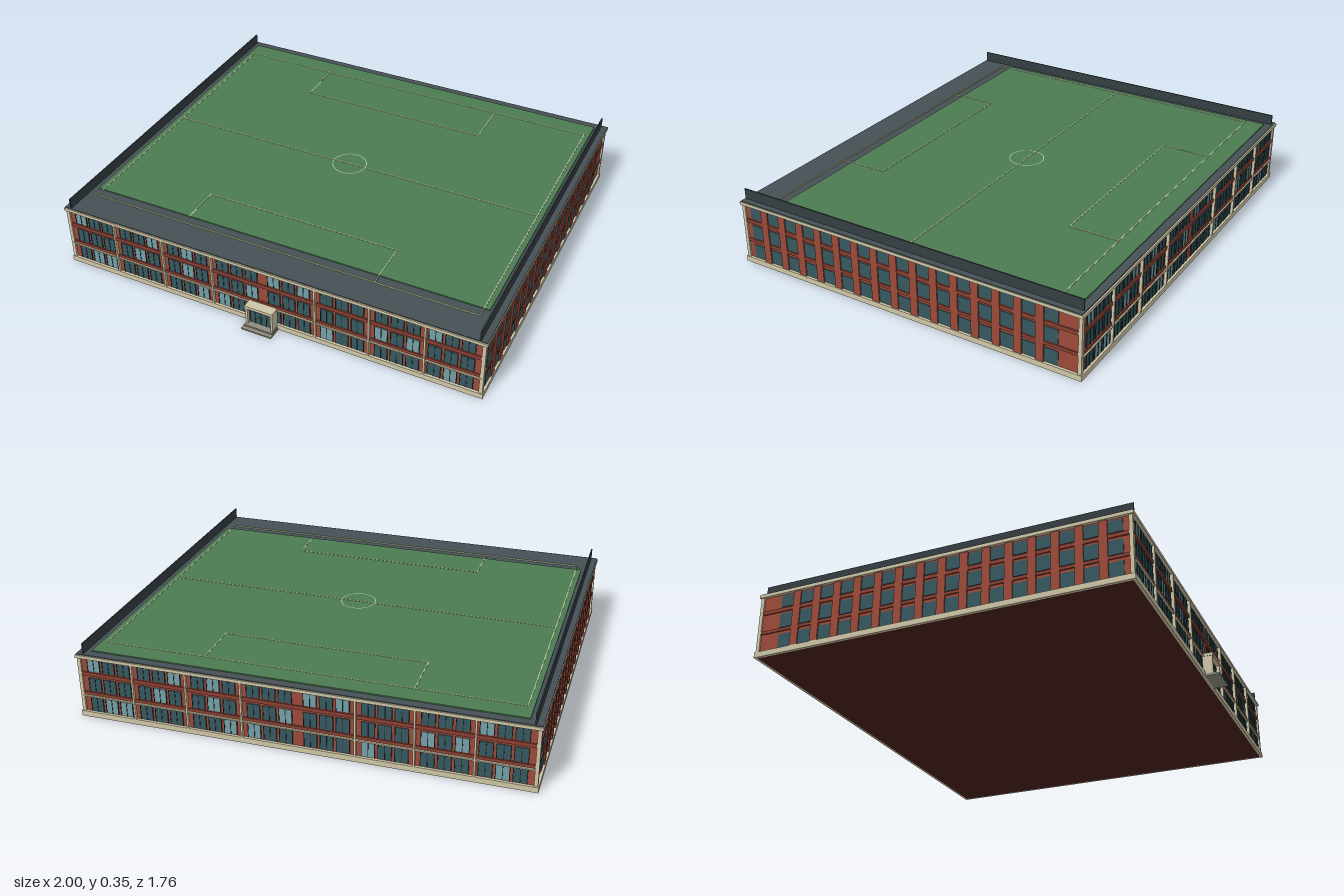
import * as THREE from 'three';
import { mergeGeometries } from 'three/addons/utils/BufferGeometryUtils.js';

const mat = (color) => new THREE.MeshStandardMaterial({ color });
const BRICK = mat(0x9c4a3a), DARK_BRICK = mat(0x8a4033), STONE = mat(0xcfc6a6), GLASS = mat(0x35585f),
  PALE_GLASS = mat(0x74a0a6), FRAME = mat(0x24383c), SLATE = mat(0x465155), FENCE = mat(0x343e41),
  GRASS = mat(0x4d7b52), LINE = mat(0xb4bf9c), STEP = mat(0x8f8d80), UNDER = mat(0x4a211d);

// Box given by its extents
function box(x0, x1, y0, y1, z0, z1) {
  return new THREE.BoxGeometry(x1 - x0, y1 - y0, z1 - z0)
    .translate((x0 + x1) / 2, (y0 + y1) / 2, (z0 + z1) / 2);
}

function add(parent, name, material, ...geometries) {
  const mesh = new THREE.Mesh(mergeGeometries(geometries.map((g) => g.toNonIndexed())), material);
  mesh.name = name;
  parent.add(mesh);
  return mesh;
}

const BACK = -0.87, FRONT = 0.8, SIDE = 0.985;
const FLOORS = [[0.028, 0.093], [0.125, 0.19], [0.222, 0.277]];

// Horizontal ring around the walls, projecting by d
function ring(y0, y1, d) {
  const x = SIDE + d, z0 = BACK - d, z1 = FRONT + d;
  return [
    box(-x, x, y0, y1, FRONT, z1), box(-x, x, y0, y1, z0, BACK),
    box(-x, -SIDE, y0, y1, BACK, FRONT), box(SIDE, x, y0, y1, BACK, FRONT),
  ];
}

// Long facade, facing +z with its wall plane at z = 0
function longFacade(name) {
  const g = new THREE.Group();
  g.name = name;
  const dark = [], pale = [], mullions = [], piers = [];
  const bay = 0.2465;
  for (let b = 0; b < 8; b++) {
    const left = -4 * bay + b * bay;
    for (let w = 0; w < 3; w++) {
      const x = left + bay / 2 + (w - 1) * 0.07 + (b === 0 ? 0.012 : b === 7 ? -0.012 : 0);
      FLOORS.forEach(([y0, y1], f) => {
        const isPale = (b * 3 + w + f * 4) % 7 === 1 || (b * 5 + w * 2 + f * 3) % 11 === 4;
        (isPale ? pale : dark).push(box(x - 0.028, x + 0.028, y0, y1, 0, 0.003));
        for (const dx of [-0.028, 0, 0.028])
          mullions.push(box(x + dx - 0.0015, x + dx + 0.0015, y0, y1, 0, 0.005));
      });
    }
    if (b > 0 && b !== 4) piers.push(box(left - 0.004, left + 0.004, 0.025, 0.285, 0, 0.013));
  }
  add(g, 'darkWindows', GLASS, ...dark);
  add(g, 'paleWindows', PALE_GLASS, ...pale);
  add(g, 'windowMullions', FRAME, ...mullions);
  add(g, 'stonePiers', STONE, ...piers);
  add(g, 'stoneCourse', STONE, box(-SIDE, SIDE, 0.098, 0.104, 0, 0.01));
  return g;
}

// Short side facade, facing +x with its wall plane at x = 0
function sideFacade(name) {
  const g = new THREE.Group();
  g.name = name;
  const panes = [], piers = [];
  for (let i = 0; i < 16; i++) {
    const z = 0.735 - i * 0.0985;
    for (const [y0, y1] of FLOORS) panes.push(box(0, 0.003, y0, y1, z - 0.031, z + 0.031));
    if (i < 15) piers.push(box(0, 0.008, 0.025, 0.283, z - 0.0675, z - 0.031));
  }
  add(g, 'sideWindows', GLASS, ...panes);
  add(g, 'brickPiers', BRICK, ...piers);
  return g;
}

// Flat line marking on the pitch
const stripe = (x0, x1, z0, z1) => {
  const h = 0.0022;
  return box(x0 - h, x1 + h, 0.301, 0.3085, z0 - h, z1 + h);
};

export function createModel() {
  const model = new THREE.Group();
  model.name = 'schoolWithRoofPitch';

  // Main block with plinth, floor bands and cornice
  add(model, 'brickWalls', BRICK, box(-SIDE, SIDE, 0.001, 0.29, BACK, FRONT));
  add(model, 'underside', UNDER, box(-SIDE, SIDE, 0, 0.001, BACK, FRONT));
  add(model, 'stonePlinth', STONE, ...ring(0, 0.025, 0.012));
  add(model, 'floorBands', DARK_BRICK, ...ring(0.107, 0.121, 0.006), ...ring(0.2, 0.217, 0.006));
  add(model, 'cornice', STONE, ...ring(0.284, 0.298, 0.014));
  const corners = [];
  for (const x of [-SIDE, SIDE]) for (const z of [BACK, FRONT])
    corners.push(box(x - 0.008, x + 0.008, 0.025, 0.284, z - 0.008, z + 0.008));
  add(model, 'cornerTrim', STONE, ...corners);

  // Facades
  const front = longFacade('frontFacade');
  front.position.z = FRONT;
  const back = longFacade('backFacade');
  back.rotation.y = Math.PI;
  back.position.z = BACK;
  const left = sideFacade('leftFacade');
  left.position.x = SIDE;
  const right = sideFacade('rightFacade');
  right.scale.x = -1;
  right.position.x = -SIDE;
  model.add(front, back, left, right);

  // Roof deck and tall side fences
  add(model, 'roofDeck', SLATE, box(-0.996, 0.996, 0.29, 0.302, BACK - 0.008, FRONT + 0.008));
  for (const s of [-1, 1])
    add(model, s > 0 ? 'leftFence' : 'rightFence', FENCE,
      box(s * 0.966 - 0.003, s * 0.966 + 0.003, 0.3, 0.35, BACK, FRONT + 0.006));

  // Sports pitch with markings
  add(model, 'pitch', GRASS, box(-0.94, 0.94, 0.3, 0.307, -0.84, 0.63));
  const X = 0.915, Z0 = -0.75, Z1 = 0.675, P = 0.457;
  add(model, 'pitchLines', LINE,
    stripe(-X, X, Z0, Z0), stripe(-X, X, Z1, Z1), stripe(-X, -X, Z0, Z1), stripe(X, X, Z0, Z1),
    stripe(-X, X, -0.037, -0.037),
    stripe(-P, P, 0.45, 0.45), stripe(-P, -P, 0.45, Z1), stripe(P, P, 0.45, Z1),
    stripe(-P, P, -0.522, -0.522), stripe(-P, -P, Z0, -0.522), stripe(P, P, Z0, -0.522));
  const circle = add(model, 'centreCircle', LINE,
    new THREE.RingGeometry(0.077, 0.081, 48).rotateX(-Math.PI / 2));
  circle.position.set(0, 0.3087, -0.037);

  // Entrance porch with glazed doors and steps
  const porch = new THREE.Group();
  porch.name = 'entrance';
  add(porch, 'porchSurround', STONE,
    box(-0.065, -0.055, 0.01, 0.1, FRONT, 0.848), box(0.055, 0.065, 0.01, 0.1, FRONT, 0.848),
    box(-0.067, 0.067, 0.098, 0.112, FRONT, 0.851));
  add(porch, 'doors', GLASS, box(-0.055, 0.055, 0.014, 0.098, FRONT, 0.83));
  add(porch, 'doorFrames', FRAME, ...[-0.053, -0.027, 0, 0.027, 0.053].map((x) =>
    box(x - 0.0015, x + 0.0015, 0.014, 0.098, 0.828, 0.833)), box(-0.054, 0.054, 0.076, 0.079, 0.828, 0.833));
  add(porch, 'doorHandles', STONE, ...[-0.006, 0.006].map((x) =>
    box(x - 0.001, x + 0.001, 0.04, 0.06, 0.832, 0.836)));
  add(porch, 'steps', STEP, box(-0.072, 0.072, 0, 0.007, FRONT, 0.878), box(-0.068, 0.068, 0.007, 0.014, FRONT, 0.86));
  model.add(porch);

  return model;
}
